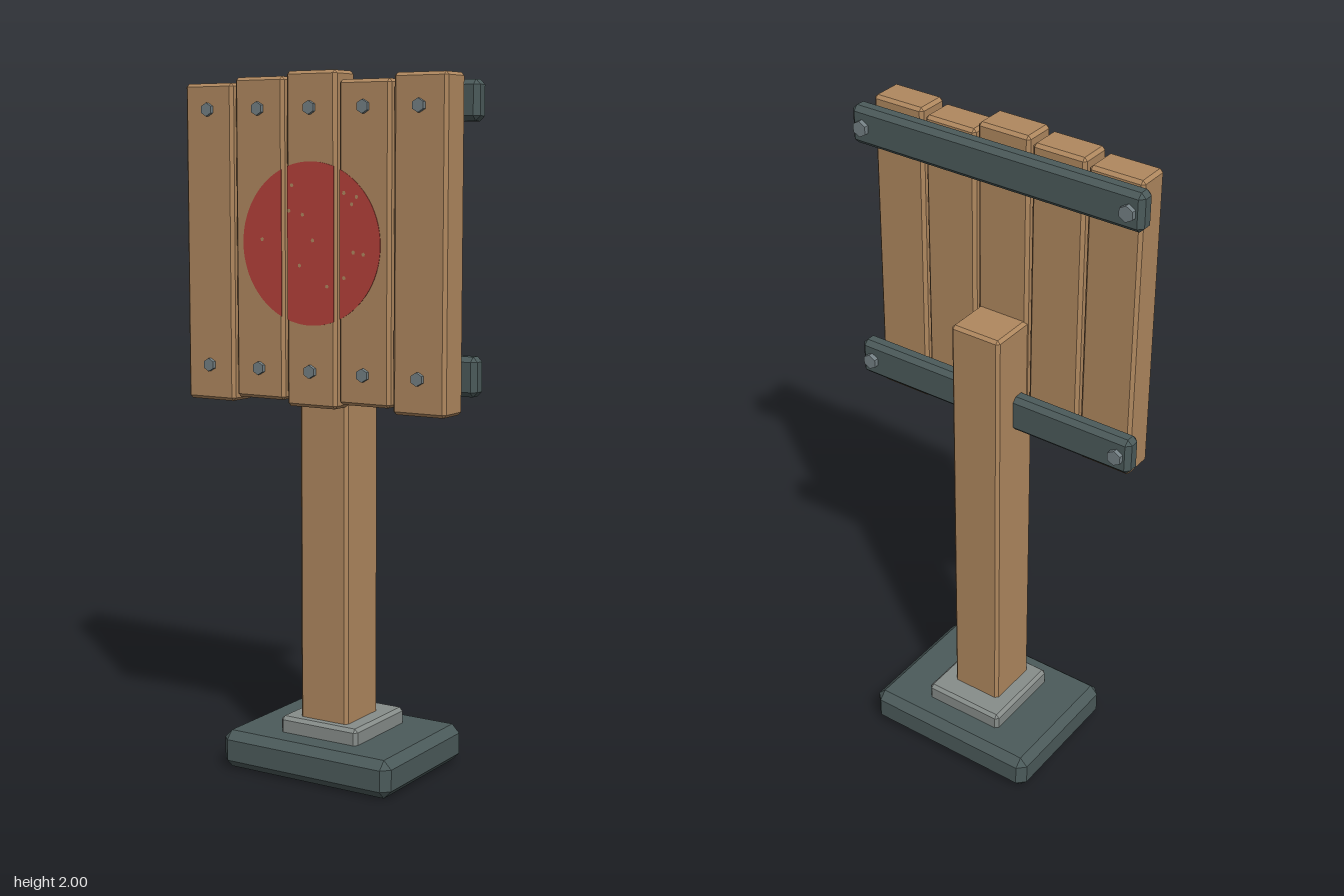
import * as THREE from 'three';
import { ConvexGeometry } from 'three/addons/geometries/ConvexGeometry.js';

const paint = (name, color) => {
  const m = new THREE.MeshStandardMaterial({ color });
  m.name = name;
  return m;
};

// Box with chamfered edges: three points at each corner, wrapped in a hull.
function chamferBox(w, h, d, c) {
  const pts = [];
  for (const sx of [-1, 1]) for (const sy of [-1, 1]) for (const sz of [-1, 1]) {
    const x = w / 2, y = h / 2, z = d / 2;
    pts.push(
      new THREE.Vector3(sx * x, sy * (y - c), sz * (z - c)),
      new THREE.Vector3(sx * (x - c), sy * y, sz * (z - c)),
      new THREE.Vector3(sx * (x - c), sy * (y - c), sz * z));
  }
  return new ConvexGeometry(pts);
}

export function createModel() {
  const model = new THREE.Group();
  model.name = 'woodenSign';
  const wood = paint('wood', 0xb0885f);
  const darkMetal = paint('darkMetal', 0x4b5a5a);
  const plateMetal = paint('plateMetal', 0x878d8a);
  const boltMetal = paint('boltMetal', 0x748084);
  const red = paint('redPaint', 0xb5413a);

  const add = (name, geometry, material, x = 0, y = 0, z = 0) => {
    const mesh = new THREE.Mesh(geometry, material);
    mesh.name = name;
    mesh.position.set(x, y, z);
    model.add(mesh);
    return mesh;
  };
  // Chamfered block given by its limits on each axis
  const block = (name, mat, [x0, x1], [y0, y1], [z0, z1], c) =>
    add(name, chamferBox(x1 - x0, y1 - y0, z1 - z0, c), mat,
      (x0 + x1) / 2, (y0 + y1) / 2, (z0 + z1) / 2);
  // Hexagonal bolt head along z
  const bolt = (name, x, y, z, r, len) => {
    const g = new THREE.CylinderGeometry(r, r, len, 6).toNonIndexed();
    g.rotateX(Math.PI / 2);
    g.computeVertexNormals();
    add(name, g, boltMetal, x, y, z);
  };

  // Foot, collar and post
  block('base', darkMetal, [-0.283, 0.283], [0, 0.11], [-0.22, 0.22], 0.024);
  block('collar', plateMetal, [-0.13, 0.13], [0.09, 0.157], [-0.135, 0.135], 0.01);
  block('post', wood, [-0.08, 0.08], [0.05, 1.45], [-0.065, 0.105], 0.009);

  // Cross rails with a bolt at each end of the back
  for (const y of [1.915, 1.177]) {
    block('rail', darkMetal, [-0.46, 0.46], [y - 0.055, y + 0.055], [0.007, 0.061], 0.014);
    for (const s of [-1, 1]) bolt('railBolt', s * 0.42, y, 0.002, 0.023, 0.018);
  }

  // Planks: bottom and top of each, from -x to +x
  const planks = [[1.075, 1.973], [1.09, 1.987], [1.075, 2], [1.09, 1.973], [1.075, 1.987]];
  const R = 0.225, spotY = 1.53;
  planks.forEach((span, i) => {
    const x = (i - 2) * 0.172;
    block('plank', wood, [x - 0.082, x + 0.082], span, [0.066, 0.166], 0.009);
    for (const y of [1.9, 1.177]) bolt('plankBolt', x, y, 0.171, 0.019, 0.014);

    // Slice of the painted round spot lying on this plank
    const x0 = Math.max(-R, x - 0.076), x1 = Math.min(R, x + 0.076);
    if (x1 <= x0) return;
    const shape = new THREE.Shape();
    const n = 20, edge = [];
    for (let k = 0; k <= n; k++) {
      const px = x0 + (x1 - x0) * (1 - Math.cos(Math.PI * k / n)) / 2;
      edge.push([px, Math.sqrt(Math.max(0, R * R - px * px))]);
    }
    const outline = [...edge.map(([a, b]) => [a, -b]), ...edge.reverse()]
      .filter(([a, b], k, all) => k === 0 || Math.hypot(a - all[k - 1][0], b - all[k - 1][1]) > 1e-5);
    shape.setFromPoints(outline.map(([a, b]) => new THREE.Vector2(a, b)));
    add('paintedSpot', new THREE.ExtrudeGeometry(shape, { depth: 0.002, bevelEnabled: false }),
      red, 0, spotY, 0.1655);
  });

  // Small chips of bare wood in the paint
  const chips = [[-0.06, 0.16], [-0.07, 0.09], [-0.025, 0.08], [0.008, 0.01], [-0.16, 0.01],
    [-0.035, -0.06], [0.055, -0.115], [0.11, -0.09], [0.14, -0.02], [0.172, -0.025],
    [0.15, 0.13], [0.11, 0.14], [0.135, 0.11]];
  chips.forEach(([x, y], i) => {
    const chip = add('paintChip', new THREE.CircleGeometry(0.006, 5), wood, x, spotY + y, 0.1685);
    chip.rotation.z = i;
  });

  return model;
}
